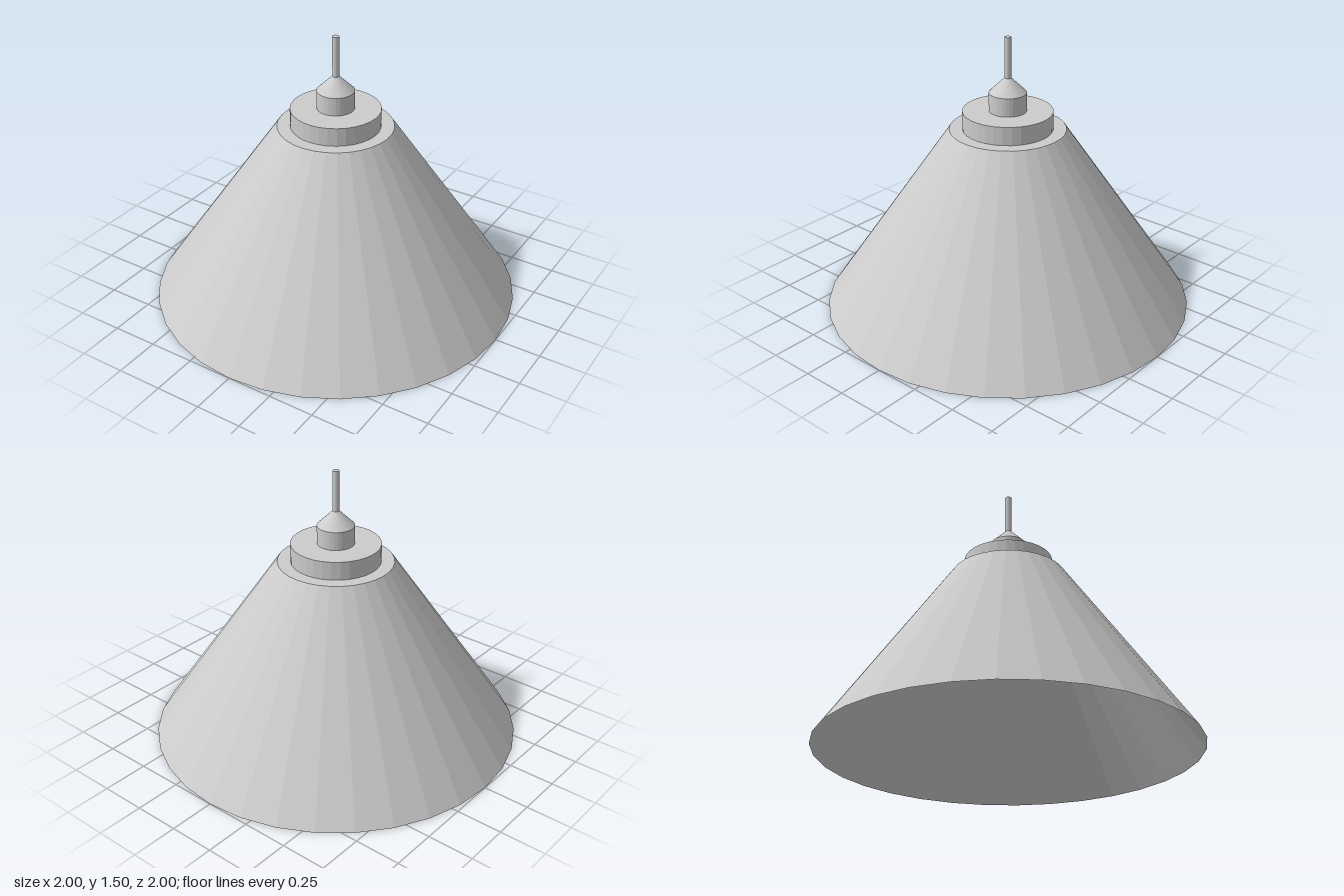
import * as THREE from 'three';

const SIDES = 32;

export function createModel() {
  const group = new THREE.Group();
  const solid = new THREE.MeshStandardMaterial({ color: 0xcccccc, flatShading: true });
  const thin = new THREE.MeshStandardMaterial({ color: 0xcccccc, flatShading: true, side: THREE.DoubleSide });

  // Surface turned about the vertical axis from [radius, height] pairs
  const turned = (name, profile, material = solid) => {
    const points = profile.map(([r, y]) => new THREE.Vector2(r, y));
    const mesh = new THREE.Mesh(new THREE.LatheGeometry(points, SIDES), material);
    mesh.name = name;
    group.add(mesh);
  };

  // Hollow shade, open at the bottom and closed at the top
  turned('shade', [[1, 0], [0.31, 1], [0, 1]], thin);
  // Wide disc sitting on the shade
  turned('collar', [[0, 1], [0.24, 1], [0.24, 1.1], [0, 1.1]]);
  // Lamp socket with its tapered cap
  turned('socket', [[0, 1.1], [0.1, 1.1], [0.1, 1.2], [0.018, 1.28], [0, 1.28]]);
  // Hanging cord
  turned('cord', [[0, 1.28], [0.018, 1.28], [0.018, 1.5], [0, 1.5]]);

  return group;
}
